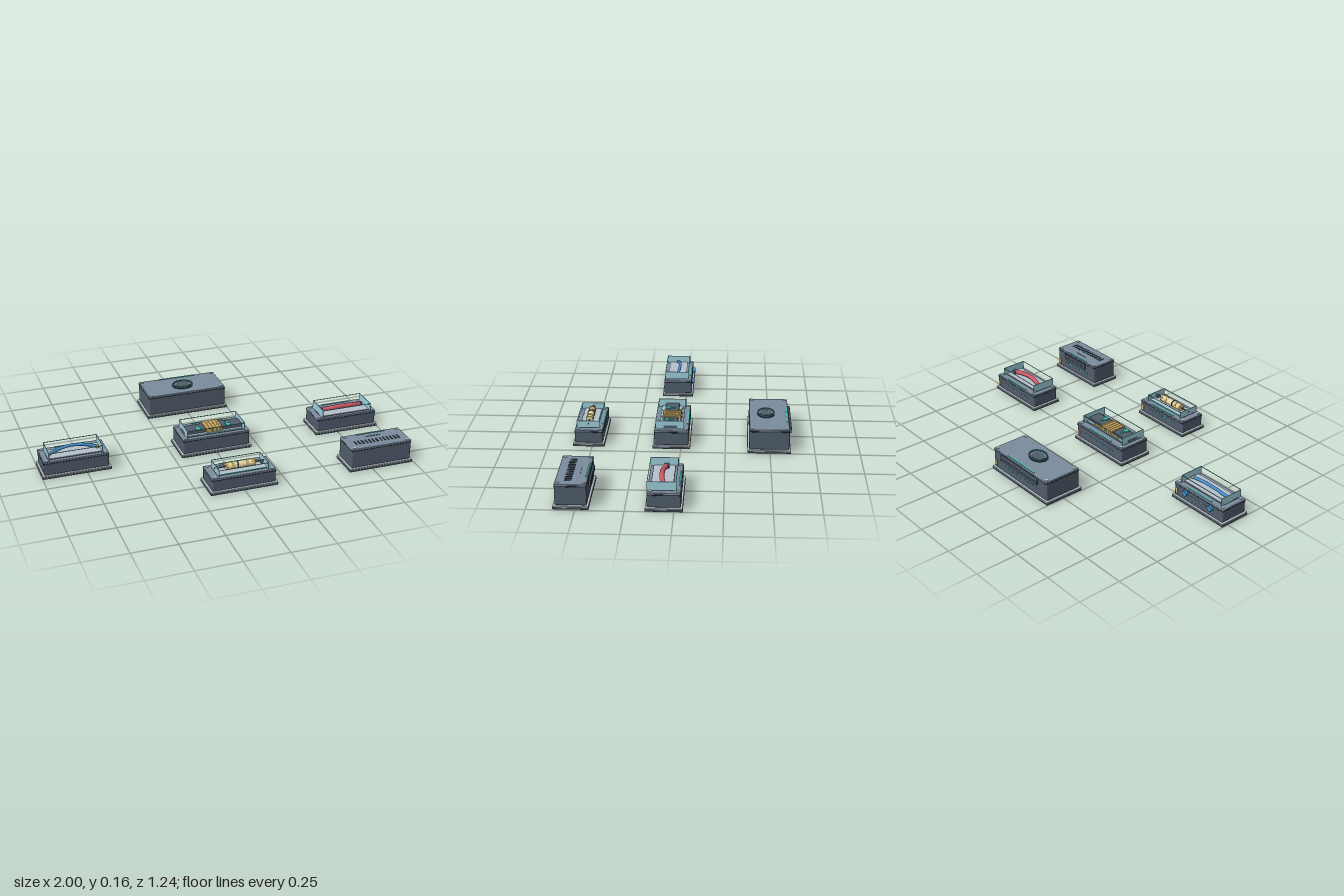
import * as THREE from 'three';
import { RoundedBoxGeometry } from 'three/addons/geometries/RoundedBoxGeometry.js';

const colours = {
  slate: 0x505d6b, lid: 0x7b8b9d, pale: 0xb6c0ca, dark: 0x2c353f, teal: 0x48bcae,
  brass: 0xd0b066, blue: 0x4590d0, red: 0xcc5a68, glass: 0x9ccdd9, cream: 0xe6d6a6,
};
const mat = {};

function add(parent, name, geo, material, x = 0, y = 0, z = 0) {
  const mesh = new THREE.Mesh(geo, mat[material]);
  mesh.name = name;
  mesh.position.set(x, y, z);
  parent.add(mesh);
  return mesh;
}
const box = (p, name, m, w, h, d, x, y, z) => add(p, name, new THREE.BoxGeometry(w, h, d), m, x, y, z);
const rounded = (p, name, m, w, h, d, x, y, z, r = 0.006) =>
  add(p, name, new RoundedBoxGeometry(w, h, d, 2, Math.min(r, h * 0.45)), m, x, y, z);
const disc = (p, name, m, r, h, x, y, z, axis = 'y') => {
  const mesh = add(p, name, new THREE.CylinderGeometry(r, r, h, 20), m, x, y, z);
  if (axis === 'x') mesh.rotation.z = Math.PI / 2;
  if (axis === 'z') mesh.rotation.x = Math.PI / 2;
  return mesh;
};
const tube = (p, name, m, pts, r) =>
  add(p, name, new THREE.TubeGeometry(
    new THREE.CatmullRomCurve3(pts.map(a => new THREE.Vector3(...a))), 24, r, 10), m);

// Housing shared by every unit: foot plate, body, seam, lid, screws and back fittings
function housing(root, name, x, z, w, d, h) {
  const g = new THREE.Group();
  g.name = name;
  g.position.set(x, 0, z);
  root.add(g);
  rounded(g, 'foot', 'slate', w, 0.012, d, 0, 0.006, 0, 0.003);
  rounded(g, 'footPlate', 'pale', w - 0.002, 0.008, d - 0.002, 0, 0.015, 0, 0.002);
  const bw = w - 0.022, bd = d - 0.02;
  rounded(g, 'body', 'slate', bw, h - 0.026, bd, 0, 0.018 + (h - 0.026) / 2, 0, 0.008);
  rounded(g, 'seam', 'dark', bw + 0.002, 0.008, bd + 0.002, 0, h - 0.012, 0, 0.003);
  rounded(g, 'lid', 'lid', bw, 0.012, bd, 0, h - 0.006, 0, 0.004);
  for (const sx of [-1, 1])
    for (const sz of [-1, 1])
      disc(g, 'screw', 'pale', 0.009, 0.004, sx * (w / 2 - 0.03), h + 0.001, sz * (d / 2 - 0.026));
  box(g, 'backLatch', 'brass', 0.012, 0.034, 0.008, w / 2 - 0.03, 0.052, -bd / 2);
  for (let i = -4; i <= 4; i++)
    box(g, 'backLight', 'teal', 0.011, 0.006, 0.006, i * w * 0.07, 0.062, -bd / 2);
  box(g, 'statusBar', 'teal', w * 0.46, 0.004, 0.008, 0, h + 0.001, -d / 2 + 0.02);
  return g;
}

// Display well: pale deck, end panes and slim rails around an open top
function display(g, h, w, d, z, top) {
  box(g, 'deckBorder', 'slate', w + 0.006, 0.004, d + 0.006, 0, h + 0.001, z);
  box(g, 'deck', 'pale', w, 0.004, d, 0, h + 0.003, z);
  const gd = d + 0.036, gh = top - h;
  for (const s of [-1, 1]) {
    box(g, 'endPane', 'glass', 0.004, gh, gd, s * w / 2, h + gh / 2, z);
    box(g, 'topRail', 'teal', w, 0.003, 0.003, 0, top - 0.0015, z + s * gd / 2);
    for (const t of [-1, 1])
      box(g, 'cornerPost', 'teal', 0.003, gh, 0.003, t * w / 2, h + gh / 2, z + s * gd / 2);
  }
}

function backHandle(g, w, d, h) {
  rounded(g, 'backHandle', 'slate', w, 0.035, 0.012, 0, h - 0.03, -d / 2, 0.004);
  box(g, 'handleSlot', 'dark', w * 0.9, 0.006, 0.004, 0, h - 0.03, -d / 2 - 0.005);
}

export function createModel() {
  for (const [name, color] of Object.entries(colours)) {
    mat[name] = new THREE.MeshStandardMaterial({ color });
    mat[name].name = name;
  }
  const root = new THREE.Group();
  root.name = 'instrumentSet';

  // Large closed unit with an oval dial
  const big = housing(root, 'largeUnit', 0, -0.495, 0.498, 0.243, 0.138);
  backHandle(big, 0.33, 0.238, 0.138);
  const dial = new THREE.Group();
  dial.name = 'dial';
  dial.position.set(0, 0.139, 0.017);
  dial.scale.z = 0.8;
  big.add(dial);
  disc(dial, 'dialRim', 'dark', 0.063, 0.004, 0, 0, 0);
  disc(dial, 'dialFace', 'lid', 0.052, 0.004, 0, 0.002, 0);
  disc(dial, 'dialCentre', 'slate', 0.042, 0.004, 0, 0.004, 0);
  const ring = add(dial, 'dialRing', new THREE.TorusGeometry(0.057, 0.004, 8, 40), 'teal', 0, 0.012, 0);
  ring.rotation.x = Math.PI / 2;

  // Unit with a blue arched strand
  const left = housing(root, 'blueArcUnit', -0.806, 0.053, 0.388, 0.188, 0.1);
  display(left, 0.1, 0.3, 0.105, 0.007, 0.146);
  tube(left, 'blueArc', 'blue', [[-0.13, 0.112, 0.009], [-0.065, 0.128, -0.002], [0, 0.134, -0.006],
    [0.065, 0.128, -0.002], [0.13, 0.112, 0.009]], 0.009);
  for (const s of [-1, 1]) {
    rounded(left, 'arcTerminal', 'brass', 0.016, 0.016, 0.022, s * 0.135, 0.11, 0.01, 0.004);
    disc(left, 'backKnob', 'blue', 0.016, 0.016, s * 0.095, 0.07, -0.091, 'z');
  }

  // Central unit with twin blocks, a wound core and two keys
  const mid = housing(root, 'coilUnit', 0, 0.053, 0.417, 0.212, 0.107);
  display(mid, 0.107, 0.34, 0.12, 0.01, 0.155);
  for (const s of [-1, 1]) {
    rounded(mid, 'coreBlock', 'slate', 0.125, 0.02, 0.08, s * 0.11, 0.12, 0.008, 0.004);
    disc(mid, 'keyHead', 'teal', 0.016, 0.005, s * 0.09, 0.132, 0.031);
    box(mid, 'keyStem', 'teal', 0.011, 0.005, 0.036, s * 0.09, 0.132, 0.008);
    box(mid, 'deckStripe', 'teal', 0.33, 0.004, 0.004, 0, 0.112, 0.01 + s * 0.056);
  }
  box(mid, 'coilCore', 'brass', 0.094, 0.022, 0.1, 0, 0.122, 0.004);
  for (let i = -2; i <= 2; i++)
    rounded(mid, 'winding', 'brass', 0.014, 0.028, 0.106, i * 0.02, 0.122, 0.004, 0.003);
  box(mid, 'coilBar', 'brass', 0.21, 0.008, 0.01, 0, 0.115, -0.04);

  // Unit with a red curved strand
  const right = housing(root, 'redArcUnit', 0.806, 0.051, 0.388, 0.192, 0.1);
  display(right, 0.1, 0.3, 0.11, 0.012, 0.148);
  tube(right, 'redArc', 'red', [[-0.115, 0.114, 0.004], [-0.06, 0.122, 0.014], [0, 0.126, 0.018],
    [0.06, 0.122, 0.014], [0.115, 0.114, 0.004]], 0.013);
  for (const s of [-1, 1])
    rounded(right, 'arcClamp', 'slate', 0.026, 0.024, 0.026, s * 0.12, 0.113, 0, 0.004);

  // Unit with a banded cartridge on a rod
  const front = housing(root, 'cartridgeUnit', -0.001, 0.519, 0.385, 0.178, 0.095);
  display(front, 0.095, 0.28, 0.092, 0.005, 0.135);
  disc(front, 'rod', 'slate', 0.004, 0.29, 0, 0.118, 0.005, 'x');
  disc(front, 'cartridge', 'cream', 0.019, 0.165, 0, 0.118, 0.005, 'x');
  for (const bx of [-0.075, -0.04, 0.04, 0.075])
    disc(front, 'brassBand', 'brass', 0.021, 0.014, bx, 0.118, 0.005, 'x');
  disc(front, 'middleBand', 'dark', 0.0215, 0.007, -0.015, 0.118, 0.005, 'x');
  for (const s of [-1, 1]) {
    rounded(front, 'rodBracket', 'lid', 0.01, 0.026, 0.02, s * 0.125, 0.11, 0.005, 0.003);
    box(front, 'deckStripe', 'teal', 0.28, 0.004, 0.004, 0, 0.099, 0.005 + s * 0.048);
  }

  // Closed unit with a row of vent slots
  const vent = housing(root, 'ventUnit', 0.803, 0.522, 0.38, 0.184, 0.135);
  backHandle(vent, 0.2, 0.18, 0.135);
  for (let i = -6; i <= 6; i++)
    box(vent, 'ventSlot', 'dark', 0.009, 0.005, 0.037, i * 0.0215, 0.135, 0.017);
  box(vent, 'ventLine', 'slate', 0.09, 0.004, 0.004, 0, 0.135, -0.037);

  return root;
}
